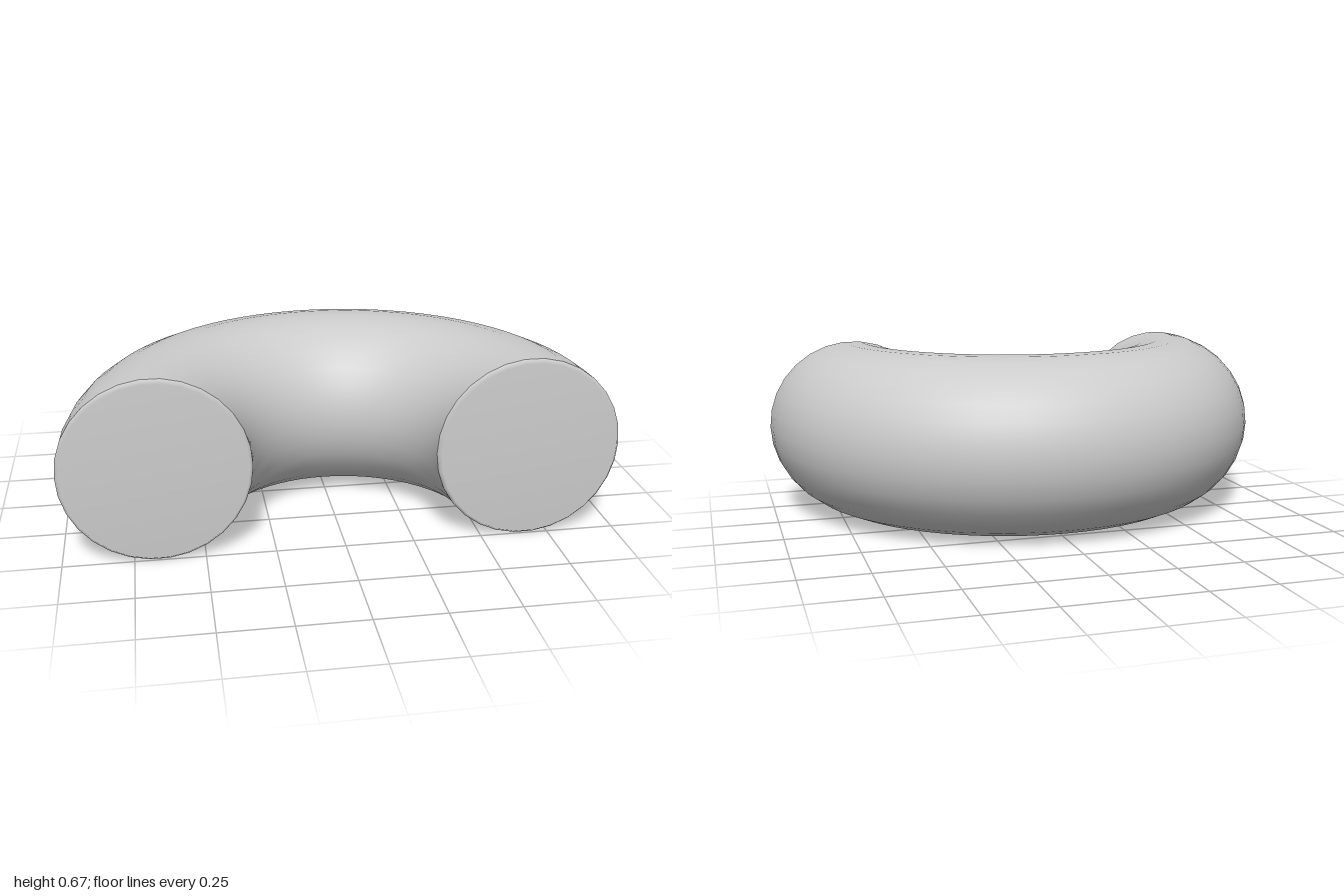
import * as THREE from 'three';

const RING = 0.663;   // radius of the bend
const TUBE = 0.337;   // radius of the tube
const SIDES = 30;
const BEVEL = 0.018;
const CENTRE_Y = 0.336;
const CENTRE_Z = 0.49;

export function createModel() {
  const group = new THREE.Group();
  const material = new THREE.MeshStandardMaterial({ color: 0xcccccc });

  // Half ring, curving round the back
  const bendGeometry = new THREE.TorusGeometry(RING, TUBE, SIDES, 32, Math.PI);
  bendGeometry.rotateX(-Math.PI / 2);
  const bend = new THREE.Mesh(bendGeometry, material);
  bend.name = 'bend';
  bend.position.set(0, CENTRE_Y, CENTRE_Z);
  group.add(bend);

  // Flat end caps with a small bevelled rim, facing the front
  const profile = [
    new THREE.Vector2(TUBE, 0),
    new THREE.Vector2(TUBE - 0.013, BEVEL),
    new THREE.Vector2(0, BEVEL),
  ];
  const capGeometry = new THREE.LatheGeometry(profile, SIDES, Math.PI / 2);
  capGeometry.rotateX(Math.PI / 2);
  for (const [name, side] of [['leftEndCap', 1], ['rightEndCap', -1]]) {
    const cap = new THREE.Mesh(capGeometry, material);
    cap.name = name;
    cap.position.set(side * RING, CENTRE_Y, CENTRE_Z);
    group.add(cap);
  }

  return group;
}
